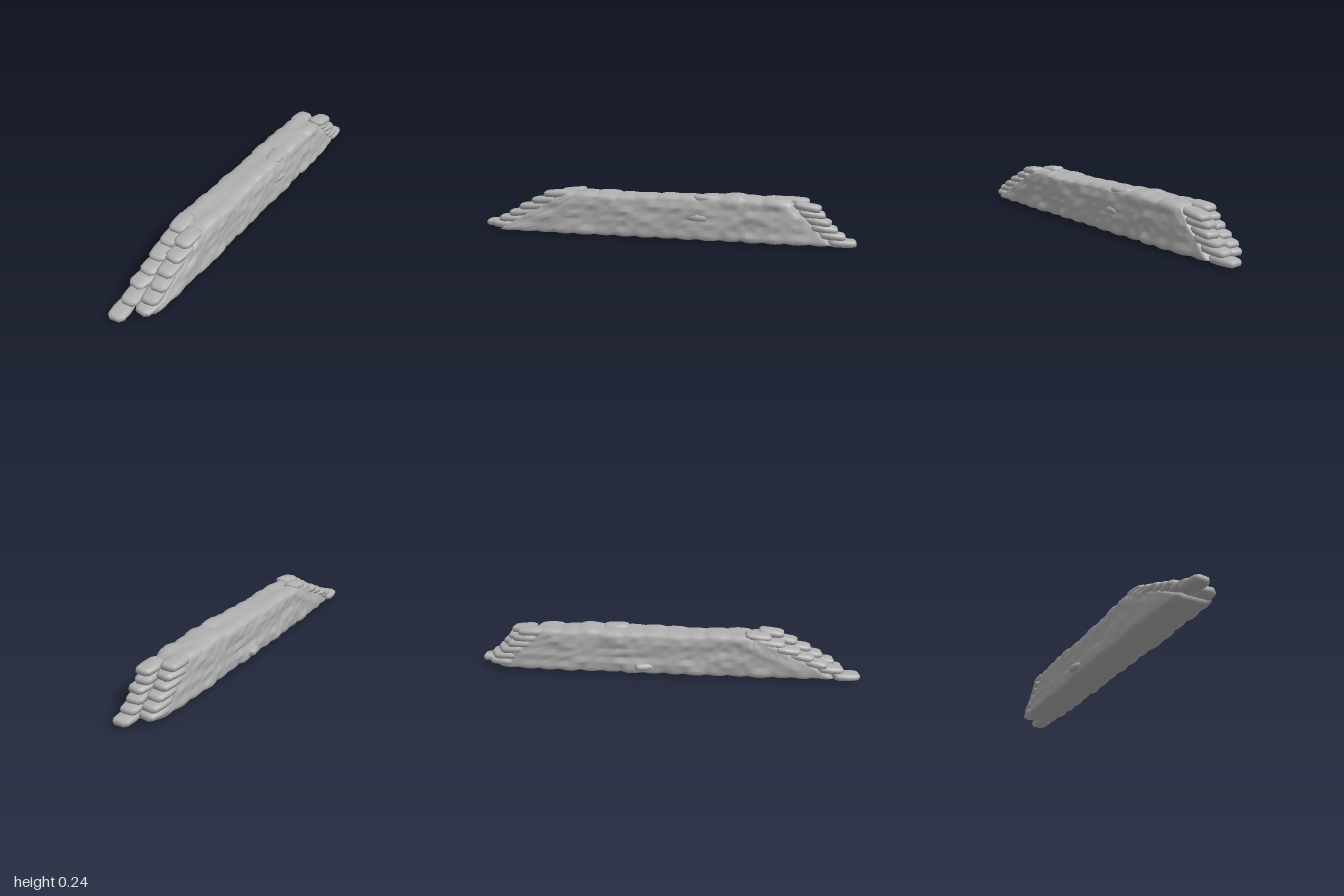
import * as THREE from 'three';
import { mergeVertices } from 'three/addons/utils/BufferGeometryUtils.js';

const sackcloth = new THREE.MeshStandardMaterial({ color: 0xb0b0b0 });
sackcloth.name = 'greySackcloth';

// Repeatable pseudo-random value in -1..1
const noise = (a, b = 0, c = 0) => {
  const s = Math.sin(a * 127.1 + b * 311.7 + c * 74.7) * 43758.5453;
  return (s - Math.floor(s)) * 2 - 1;
};
const lerp = THREE.MathUtils.lerp;

// Pillow with a cut-corner outline: rings of [scale, height], one per level
function bagGeometry() {
  const outline = [[0.55, 1], [0.92, 0.72], [1, 0], [0.9, -0.75], [0.6, -1],
    [-0.6, -1], [-0.9, -0.75], [-1, 0], [-0.92, 0.72], [-0.55, 1]];
  const rings = [[0.6, -1], [0.9, -0.7], [1, 0], [0.92, 0.6], [0.65, 1]];
  const n = outline.length;
  const points = [], faces = [];
  rings.forEach(([k, h], r) => {
    outline.forEach(([x, z], i) => {
      points.push(x * k, h, z * (k + 1) / 2);
      const a = r * n + i, b = r * n + (i + 1) % n;
      if (r < rings.length - 1) faces.push(a, a + n, b, b, a + n, b + n);
    });
  });
  const under = points.length / 3, over = under + 1, last = (rings.length - 1) * n;
  points.push(0, -1, 0, 0, 1.08, 0);
  for (let i = 0; i < n; i++) {
    const j = (i + 1) % n;
    faces.push(under, i, j, over, last + j, last + i);
  }
  const geo = new THREE.BufferGeometry();
  geo.setAttribute('position', new THREE.Float32BufferAttribute(points, 3));
  // The outline runs clockwise seen from above, so turn the faces outwards
  for (let i = 0; i < faces.length; i += 3) {
    const [a, b, c] = [0, 1, 2].map((k) => new THREE.Vector3().fromArray(points, faces[i + k] * 3));
    const normal = b.clone().sub(a).cross(c.clone().sub(a));
    if (normal.dot(a.add(b).add(c)) < 0) [faces[i + 1], faces[i + 2]] = [faces[i + 2], faces[i + 1]];
  }
  geo.setIndex(faces);
  geo.computeVertexNormals();
  return geo;
}

// Long packed body, with sloping ends and a lumpy surface of staggered bags
function coreGeometry() {
  const box = new THREE.BoxGeometry(2, 1, 2, 6, 14, 84);
  box.deleteAttribute('uv');
  box.deleteAttribute('normal');
  const geo = mergeVertices(box, 1e-4);
  const p = geo.attributes.position;
  for (let i = 0; i < p.count; i++) {
    const u = p.getX(i), v = p.getY(i) + 0.5, w = p.getZ(i);
    const end = w > 0 ? lerp(0.87, 0.5, v) : lerp(0.88, 0.67, v);
    // Rows stay upright in the middle and lean over towards the ends
    const z = w * lerp(w > 0 ? 0.7 : 0.77, end, w * w);
    const course = Math.min(6, Math.floor(v * 7));
    const along = z / 0.11 + (course % 2) * 0.5;
    const bag = Math.floor(along);
    const seam = Math.abs(Math.sin(along * Math.PI));
    const side = Math.sign(u);
    const bulge = 0.004 * seam + 0.006 * noise(bag, course, side)
      + 0.002 * noise(i, 3);
    // Narrower where the end bags take over
    const taper = 0.016 * Math.pow(Math.abs(w), 10);
    const half = lerp(0.1, 0.087, v) + bulge - taper;
    const edge = Math.abs(u) > 0.99;
    const rim = edge && (v < 0.01 || v > 0.99) ? 0.93 : 1;
    let y = lerp(0.008, 0.22, v);
    if (v > 0.99) {
      y += 0.005 * noise(bag, side, 5) + 0.004 * seam - (edge ? 0.009 : 0)
        + 0.008 * Math.exp(-Math.pow((z + 0.42) / 0.08, 2));
    }
    if (v < 0.01) y = Math.max(0, y - 0.006 * seam + (edge ? 0.006 : 0));
    p.setXYZ(i, lerp(0.012, 0.006, v) + u * half * rim, y, z);
  }
  geo.computeVertexNormals();
  return geo;
}

export function createModel() {
  const wall = new THREE.Group();
  wall.name = 'sandbagWall';

  const core = new THREE.Mesh(coreGeometry(), sackcloth);
  core.name = 'packedBagBody';
  wall.add(core);

  const bagShape = bagGeometry();
  const addBag = (name, x, y, z, size = [0.046, 0.018, 0.066], turn = 0, tilt = 0) => {
    const bag = new THREE.Mesh(bagShape, sackcloth);
    bag.name = name;
    bag.position.set(x, y, z);
    bag.scale.set(...size);
    bag.rotation.set(tilt, turn, 0);
    wall.add(bag);
  };

  // Stepped bags on each sloping end: column x, lowest y, course height, z per course
  const stacks = [
    ['frontRightBag', -0.038, 0.022, 0.0322, [0.933, 0.85, 0.77, 0.7, 0.63, 0.55, 0.48]],
    ['frontLeftBag', 0.054, 0.034, 0.0355, [0.85, 0.81, 0.75, 0.69, 0.62, 0.55]],
    ['backLeftBag', 0.052, 0.022, 0.034, [-0.932, -0.88, -0.84, -0.81, -0.78, -0.76]],
    ['backRightBag', -0.038, 0.038, 0.0335, [-0.86, -0.84, -0.8, -0.76, -0.73, -0.7]],
  ];
  stacks.forEach(([name, x, y, step, depths], s) => {
    depths.forEach((z, i) => {
      const turn = 0.18 * noise(s, i, 2);
      const tilt = i ? Math.sign(z) * (0.09 + 0.05 * noise(i, s)) : 0;
      addBag(name, x + 0.005 * noise(s, i), y + i * step, z, undefined, turn, tilt);
    });
  });

  // Loose bags lying on the top and poking out of the sides
  addBag('topBag', 0.05, 0.217, -0.26, [0.042, 0.016, 0.066], 0.08);
  addBag('rightSideBag', -0.08, 0.047, -0.1, [0.033, 0.018, 0.05], 0.4);
  addBag('leftSideBag', 0.078, 0.12, -0.21, [0.034, 0.018, 0.06], -0.15);

  return wall;
}
